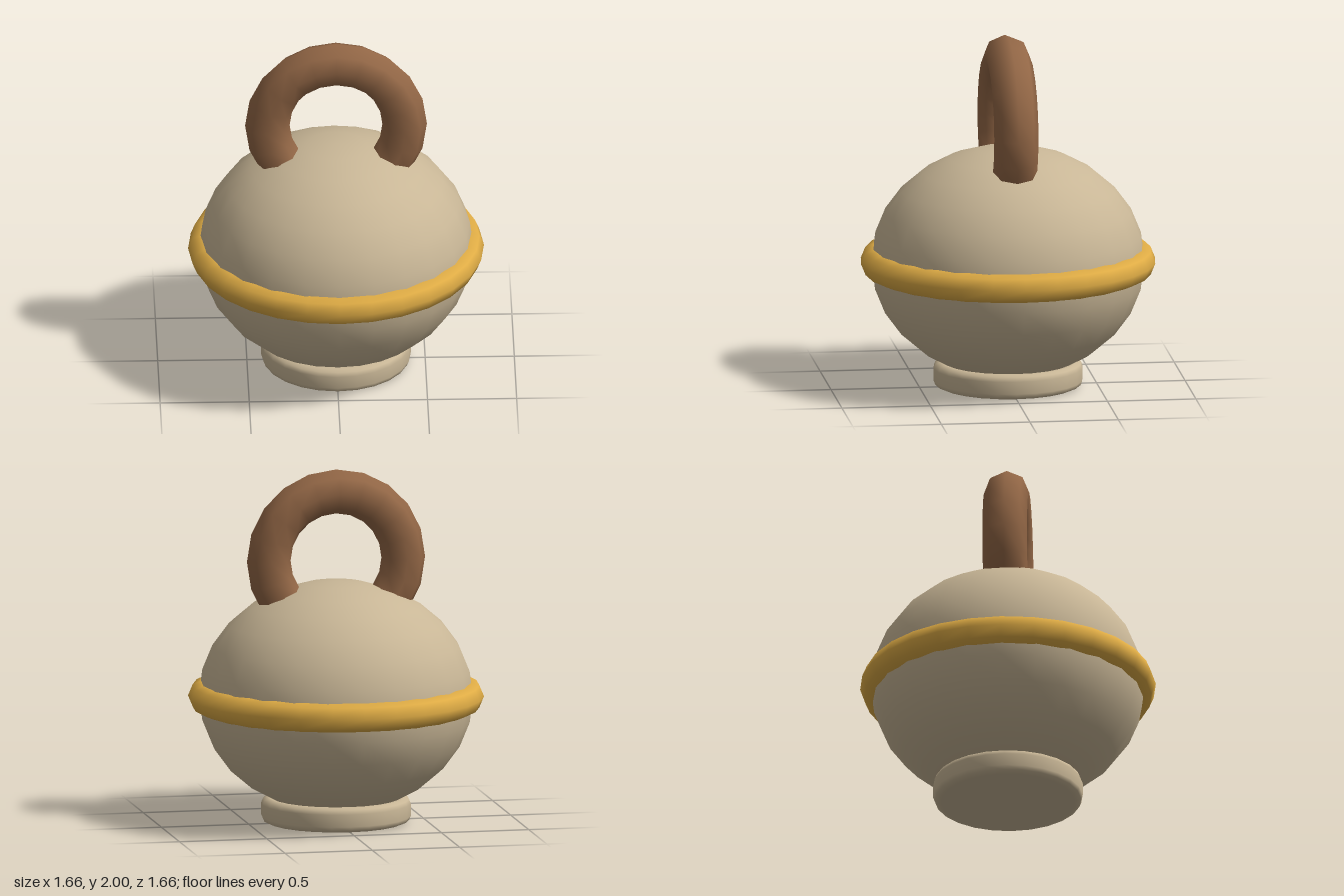
import * as THREE from 'three';

export function createModel() {
  const model = new THREE.Group();
  const clay = new THREE.MeshStandardMaterial({ name: 'tan clay', color: 0xc8b696 });
  const gold = new THREE.MeshStandardMaterial({ name: 'gold', color: 0xdfac45 });
  const brown = new THREE.MeshStandardMaterial({ name: 'brown', color: 0x936746 });

  const add = (name, geometry, material, y) => {
    const mesh = new THREE.Mesh(geometry, material);
    mesh.name = name;
    mesh.position.y = y;
    model.add(mesh);
    return mesh;
  };

  // Slightly squashed round body
  const bodyGeometry = new THREE.SphereGeometry(0.77, 24, 14);
  bodyGeometry.scale(1, 0.85, 1);
  add('body', bodyGeometry, clay, 0.713);

  // Band around the widest part
  const bandGeometry = new THREE.TorusGeometry(0.742, 0.088, 8, 28);
  bandGeometry.rotateX(Math.PI / 2);
  add('band', bandGeometry, gold, 0.713);

  // Ring handle, its lower part sunk into the body
  add('handle', new THREE.TorusGeometry(0.385, 0.125, 8, 20), brown, 1.49);

  // Foot disc with rounded rims
  const profile = [
    [0, 0], [0.375, 0], [0.385, 0], [0.41, 0.011], [0.42, 0.035],
    [0.42, 0.105], [0.41, 0.129], [0.385, 0.14], [0.375, 0.14], [0, 0.14],
  ].map(([r, y]) => new THREE.Vector2(r, y));
  add('foot', new THREE.LatheGeometry(profile, 24), clay, 0);

  return model;
}
